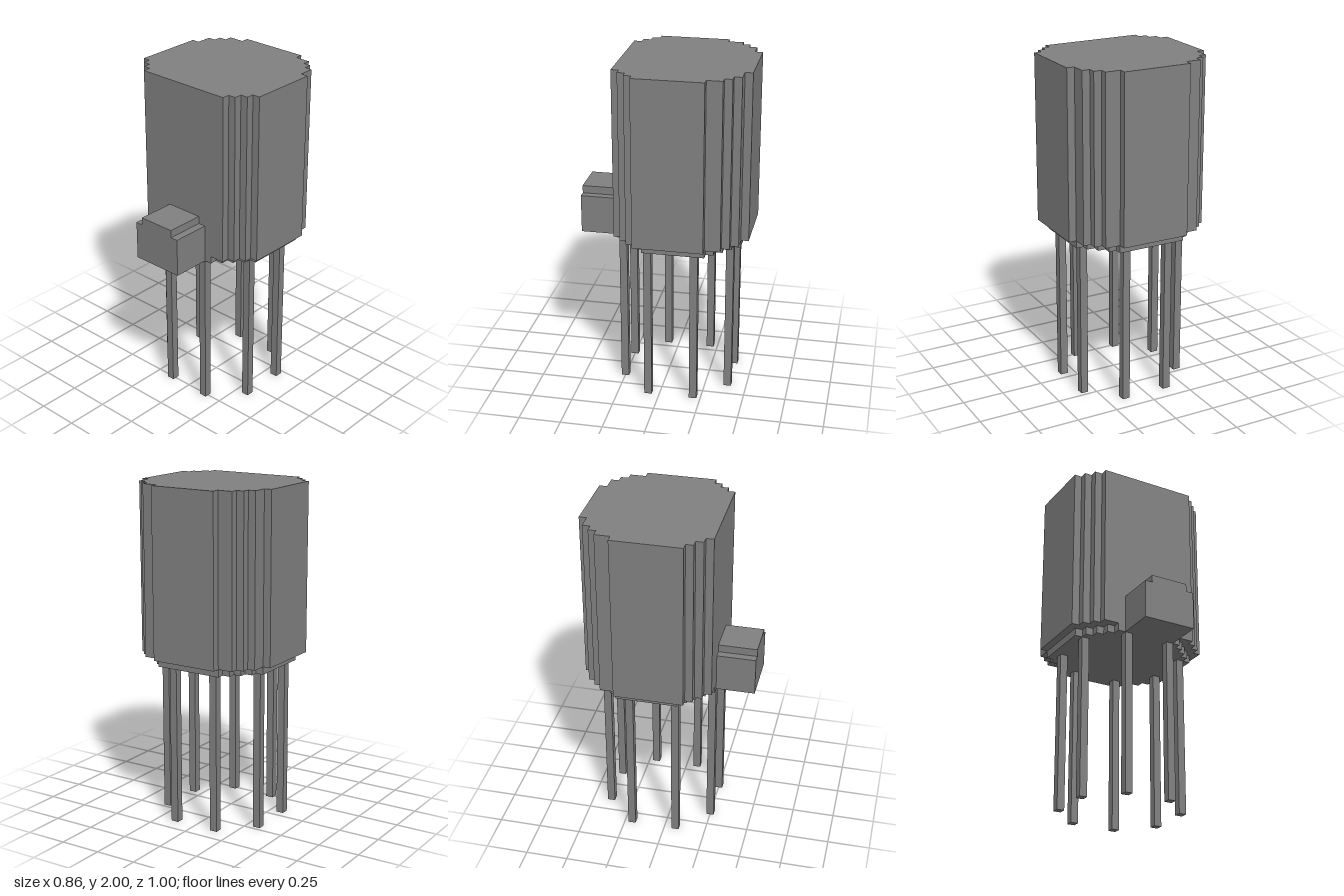
import * as THREE from 'three';

const U = 1 / 22; // one grid cell; all sizes below are in cells

export function createModel() {
  const group = new THREE.Group();
  const grey = new THREE.MeshStandardMaterial({ color: 0x808080 });
  grey.name = 'grey';

  const add = (name, geometry) => {
    const mesh = new THREE.Mesh(geometry, grey);
    mesh.name = name;
    group.add(mesh);
  };

  // Upright prism with a stepped, left-right symmetric plan.
  // rows: [z start, half width] from back to front, ending at zEnd.
  const steppedPrism = (name, rows, zEnd, y0, y1) => {
    const side = [];
    rows.forEach(([z, w], i) => {
      const next = i + 1 < rows.length ? rows[i + 1][0] : zEnd;
      side.push([w, -z], [w, -next]);
    });
    const outline = [...side, ...side.slice().reverse().map(([x, y]) => [-x, y])];
    const shape = new THREE.Shape(outline.map(([x, y]) => new THREE.Vector2(x * U, y * U)));
    const geometry = new THREE.ExtrudeGeometry(shape, { depth: (y1 - y0) * U, bevelEnabled: false });
    geometry.rotateX(-Math.PI / 2);
    geometry.translate(0, y0 * U, 0);
    add(name, geometry);
  };

  // Main can and the narrower base plate under it
  steppedPrism('body', [[-11, 4.5], [-10, 6.5], [-9, 7.5], [-8, 8.5], [-6, 9.5],
    [3, 8.5], [4, 7.5], [5, 6.5]], 6, 22, 44);
  steppedPrism('basePlate', [[-10, 4.5], [-9, 5.5], [-8, 6.5], [-7, 7.5], [-6, 8.5],
    [2, 7.5], [3, 6.5], [4, 5.5], [5, 4.5]], 6, 21, 22);

  // Front block with a stepped top
  const block = new THREE.Shape([[-3.5, 21], [3.5, 21], [3.5, 26], [2.5, 26], [2.5, 27],
    [-2.5, 27], [-2.5, 26], [-3.5, 26]].map(([x, y]) => new THREE.Vector2(x * U, y * U)));
  const blockGeometry = new THREE.ExtrudeGeometry(block, { depth: 5 * U, bevelEnabled: false });
  blockGeometry.translate(0, 0, 6 * U);
  add('frontBlock', blockGeometry);

  // Ring of eight thin pins
  for (const [x, z] of [[3, 5.5], [7, 1.5], [7, -4.5], [3, -8.5]]) {
    for (const s of [-1, 1]) {
      const pin = new THREE.BoxGeometry(U, 21 * U, U);
      pin.translate(s * x * U, 10.5 * U, z * U);
      add('pin', pin);
    }
  }
  return group;
}
